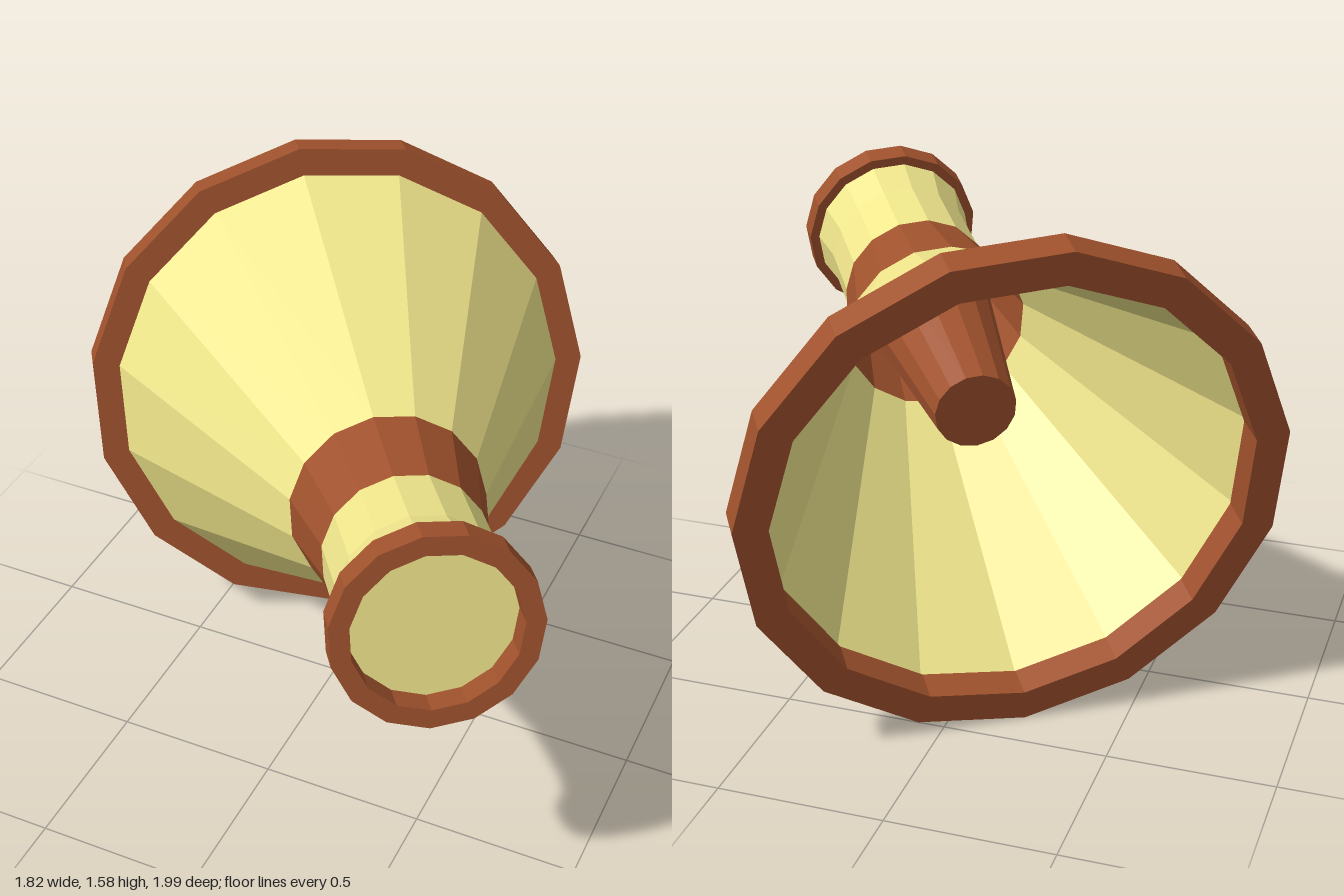
import * as THREE from 'three';

const SIDES = 15;
const PHASE = THREE.MathUtils.degToRad(1.5);

const yellow = new THREE.MeshStandardMaterial({ color: 0xf0e68c, flatShading: true, side: THREE.DoubleSide });
const brown = new THREE.MeshStandardMaterial({ color: 0xa0522d, flatShading: true, side: THREE.DoubleSide });

// Faceted turned part: profile is a list of [radius, height along the axis]
function turned(name, profile, material) {
  const points = profile.map(([r, s]) => new THREE.Vector2(r, s));
  const mesh = new THREE.Mesh(new THREE.LatheGeometry(points, SIDES, PHASE, Math.PI * 2), material);
  mesh.name = name;
  return mesh;
}

// Rectangular-section ring between two heights
function ring(name, inner, outer, s0, s1) {
  return turned(name, [[inner, s0], [outer, s0], [outer, s1], [inner, s1], [inner, s0]], brown);
}

export function createModel() {
  const horn = new THREE.Group();
  horn.name = 'horn';

  horn.add(
    // Wide mouth
    ring('mouthRim', 0.7, 0.8, -0.05, 0.05),
    turned('bell', [[0.725, 0.03], [0.286, 0.92]], yellow),
    // Throat and narrow end
    turned('throatBand', [[0.286, 0.92], [0.235, 1.19]], brown),
    turned('neck', [[0.235, 1.19], [0.233, 1.42], [0.255, 1.55]], yellow),
    ring('neckRim', 0.23, 0.285, 1.55, 1.63),
    turned('endDisc', [[0.25, 1.555], [0, 1.555]], yellow),
    // Tapered plug inside the bell
    turned('innerPlug', [[0, 0.43], [0.125, 0.43], [0.225, 1.22], [0, 1.22]], brown)
  );

  // Aim the axis towards the front left and slightly up
  const axis = new THREE.Vector3(0.544, 0.184, 0.818).normalize();
  const across = new THREE.Vector3(0, 1, 0).cross(axis).normalize();
  const upward = axis.clone().cross(across);
  horn.quaternion.setFromRotationMatrix(new THREE.Matrix4().makeBasis(upward, axis, across));
  horn.position.set(-0.215, 0.797, -0.49);

  const model = new THREE.Group();
  model.name = 'model';
  model.add(horn);
  return model;
}
